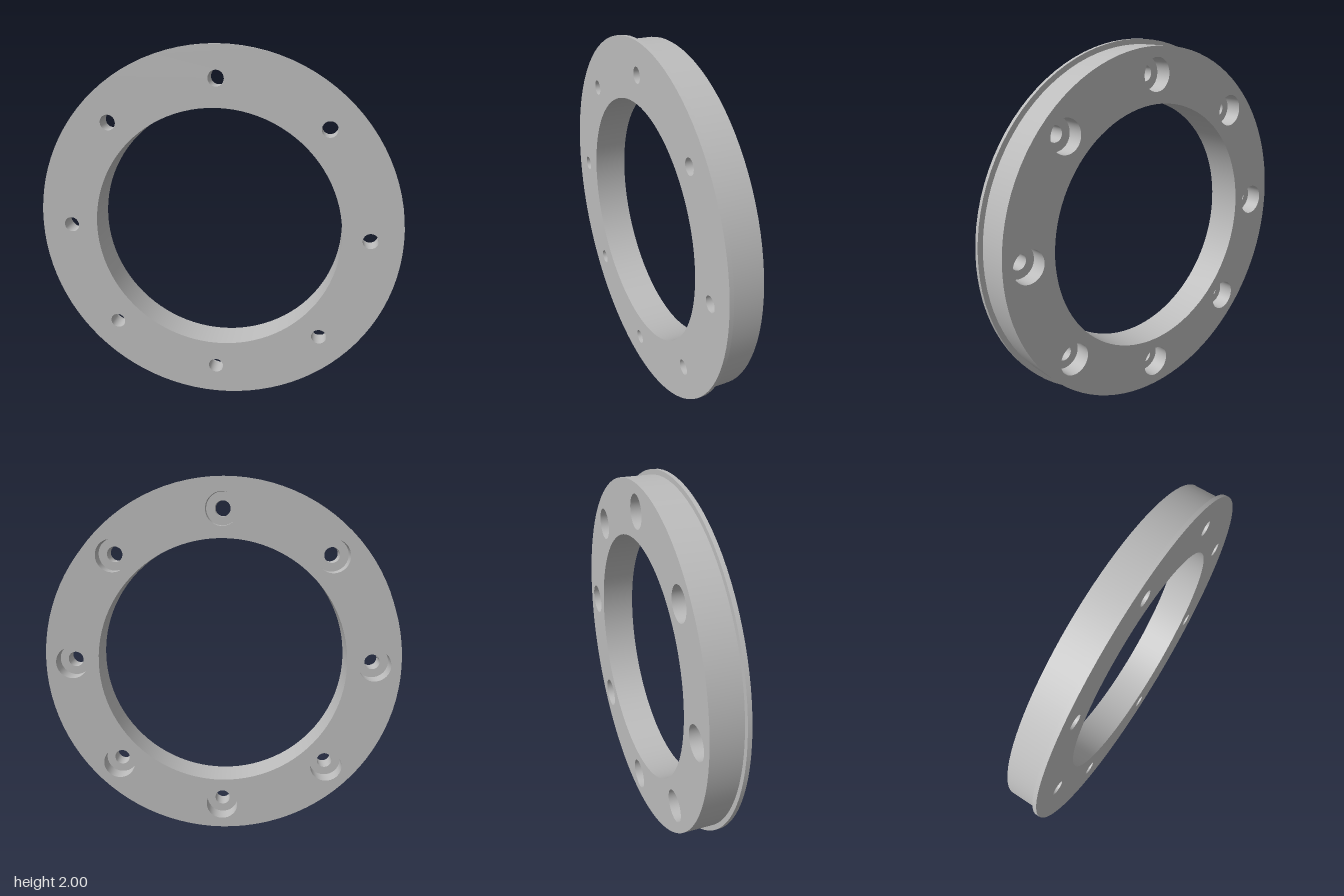
import * as THREE from 'three';

const SEGMENTS = 96;
const OUTER = 1, BODY = 0.973, INNER = 0.68;           // ring radii
const BOLT_CIRCLE = 0.83, HOLE = 0.042, BORE = 0.088;  // bolt hole radii
const FRONT = 0.095, STEP = 0.073, LEDGE = -0.005, BACK = -0.095; // z levels

const boltCentres = Array.from({ length: 8 }, (_, i) => {
  const a = (i * Math.PI) / 4;
  return [BOLT_CIRCLE * Math.cos(a), BOLT_CIRCLE * Math.sin(a)];
});

// Flat ring facing +z, optionally pierced by the bolt holes
function ringFace(outer, inner, boltRadius = 0) {
  const shape = new THREE.Shape().absarc(0, 0, outer, 0, Math.PI * 2, false);
  const cut = (x, y, r) => shape.holes.push(new THREE.Path().absarc(x, y, r, 0, Math.PI * 2, true));
  cut(0, 0, inner);
  if (boltRadius) boltCentres.forEach(([x, y]) => cut(x, y, boltRadius));
  return new THREE.ShapeGeometry(shape, SEGMENTS / 2);
}

// Round wall along z: faces outward when z0 < z1, inward when z0 > z1
function wall(radius, z0, z1) {
  const profile = [new THREE.Vector2(radius, z0), new THREE.Vector2(radius, z1)];
  return new THREE.LatheGeometry(profile, SEGMENTS).rotateX(Math.PI / 2);
}

export function createModel() {
  const model = new THREE.Group();
  model.name = 'flangedRing';
  const metal = new THREE.MeshStandardMaterial({ color: 0xbcbcbc });
  metal.name = 'greyMetal';

  const add = (name, geometry, x = 0, y = 0, z = 0) => {
    const mesh = new THREE.Mesh(geometry, metal);
    mesh.name = name;
    mesh.position.set(x, y + 1, z);
    model.add(mesh);
  };

  // Flat faces
  add('frontFace', ringFace(OUTER, INNER, HOLE), 0, 0, FRONT);
  add('backFace', ringFace(BODY, INNER, BORE).rotateY(Math.PI), 0, 0, BACK);
  add('flangeBack', ringFace(OUTER, BODY).rotateY(Math.PI), 0, 0, STEP);

  // Round walls
  add('flangeRim', wall(OUTER, STEP, FRONT));
  add('bodyWall', wall(BODY, BACK, STEP));
  add('innerWall', wall(INNER, FRONT, BACK));

  // Bolt holes, counterbored from the back
  const holeWall = wall(HOLE, FRONT, LEDGE);
  const boreWall = wall(BORE, LEDGE, BACK);
  const boreLedge = ringFace(BORE, HOLE).rotateY(Math.PI);
  for (const [x, y] of boltCentres) {
    add('boltHole', holeWall, x, y);
    add('counterbore', boreWall, x, y);
    add('counterboreLedge', boreLedge, x, y, LEDGE);
  }
  return model;
}
